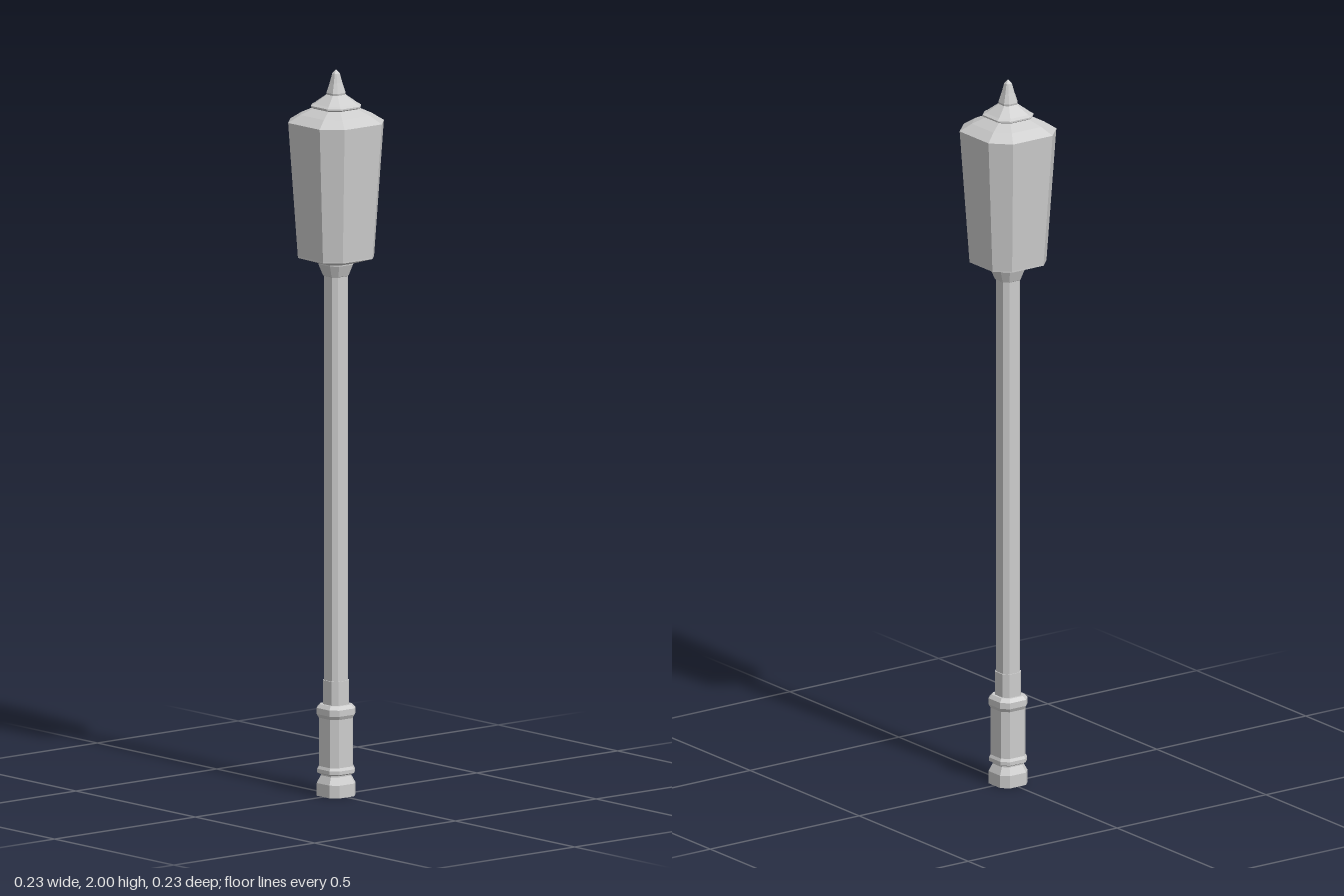
import * as THREE from 'three';

const material = new THREE.MeshStandardMaterial({ color: 0xcccccc, flatShading: true });

// Square section with cut corners: h is half the width, k the share of it kept flat
function section([h, y, k = 0.58]) {
  const f = h * k;
  return [[f, h], [h, f], [h, -f], [f, -h], [-f, -h], [-h, -f], [-h, f], [-f, h]]
    .map(([x, z]) => [x, y, z]);
}

// Closed solid through a list of [halfWidth, y, flatShare], bottom to top
function loft(name, profile) {
  const rings = profile.map(section);
  const pos = [];
  const tri = (a, b, c) => pos.push(...a, ...b, ...c);
  const last = rings.length - 1;
  const bottom = [0, profile[0][1], 0], top = [0, profile[last][1], 0];
  for (let j = 0; j < 8; j++) {
    const n = (j + 1) % 8;
    for (let i = 0; i < last; i++) {
      const a = rings[i][j], b = rings[i][n], c = rings[i + 1][n], d = rings[i + 1][j];
      tri(a, c, b);
      tri(a, d, c);
    }
    tri(bottom, rings[0][j], rings[0][n]);
    tri(top, rings[last][n], rings[last][j]);
  }
  // Sections run clockwise seen from above, so turn every triangle outward
  for (let i = 0; i < pos.length; i += 9) {
    const p = new THREE.Vector3().fromArray(pos, i);
    const q = new THREE.Vector3().fromArray(pos, i + 3);
    const r = new THREE.Vector3().fromArray(pos, i + 6);
    const normal = q.clone().sub(p).cross(r.clone().sub(p));
    const mid = p.clone().add(q).add(r).divideScalar(3);
    const flat = Math.hypot(normal.x, normal.z) < 1e-9;
    const out = flat ? normal.y * (mid.y - (bottom[1] + top[1]) / 2) : normal.x * mid.x + normal.z * mid.z;
    if (out < 0) {
      q.toArray(pos, i + 6);
      r.toArray(pos, i + 3);
    }
  }
  const geometry = new THREE.BufferGeometry();
  geometry.setAttribute('position', new THREE.Float32BufferAttribute(pos, 3));
  geometry.computeVertexNormals();
  const mesh = new THREE.Mesh(geometry, material);
  mesh.name = name;
  return mesh;
}

export function createModel() {
  const lamp = new THREE.Group();
  lamp.name = 'streetLamp';
  lamp.add(
    // Foot with a pinched neck
    loft('foot', [[0.046, 0], [0.046, 0.035], [0.036, 0.056], [0.036, 0.064]]),
    // Pedestal with a ring at each end
    loft('pedestal', [
      [0.038, 0.06], [0.045, 0.064], [0.045, 0.074], [0.041, 0.082],
      [0.041, 0.215], [0.046, 0.225], [0.046, 0.242], [0.038, 0.252],
    ]),
    loft('sleeve', [[0.031, 0.25], [0.031, 0.318]]),
    loft('shaft', [[0.028, 0.315], [0.028, 1.45]]),
    // Cup under the lantern
    loft('collar', [[0.024, 1.43], [0.031, 1.434], [0.042, 1.465], [0.042, 1.47]]),
    // Lantern, widening upward
    loft('lantern', [[0.042, 1.468], [0.091, 1.484], [0.091, 1.488], [0.114, 1.857]]),
    loft('roof', [[0.114, 1.857], [0.085, 1.878], [0.05, 1.896]]),
    // Small upper roof with a thin brim
    loft('cap', [[0.053, 1.894], [0.06, 1.898], [0.06, 1.902], [0.052, 1.907], [0.022, 1.932]]),
    loft('finial', [[0.022, 1.931], [0.023, 1.937], [0.015, 1.965], [0.009, 1.99], [0.001, 2]]),
  );
  return lamp;
}
